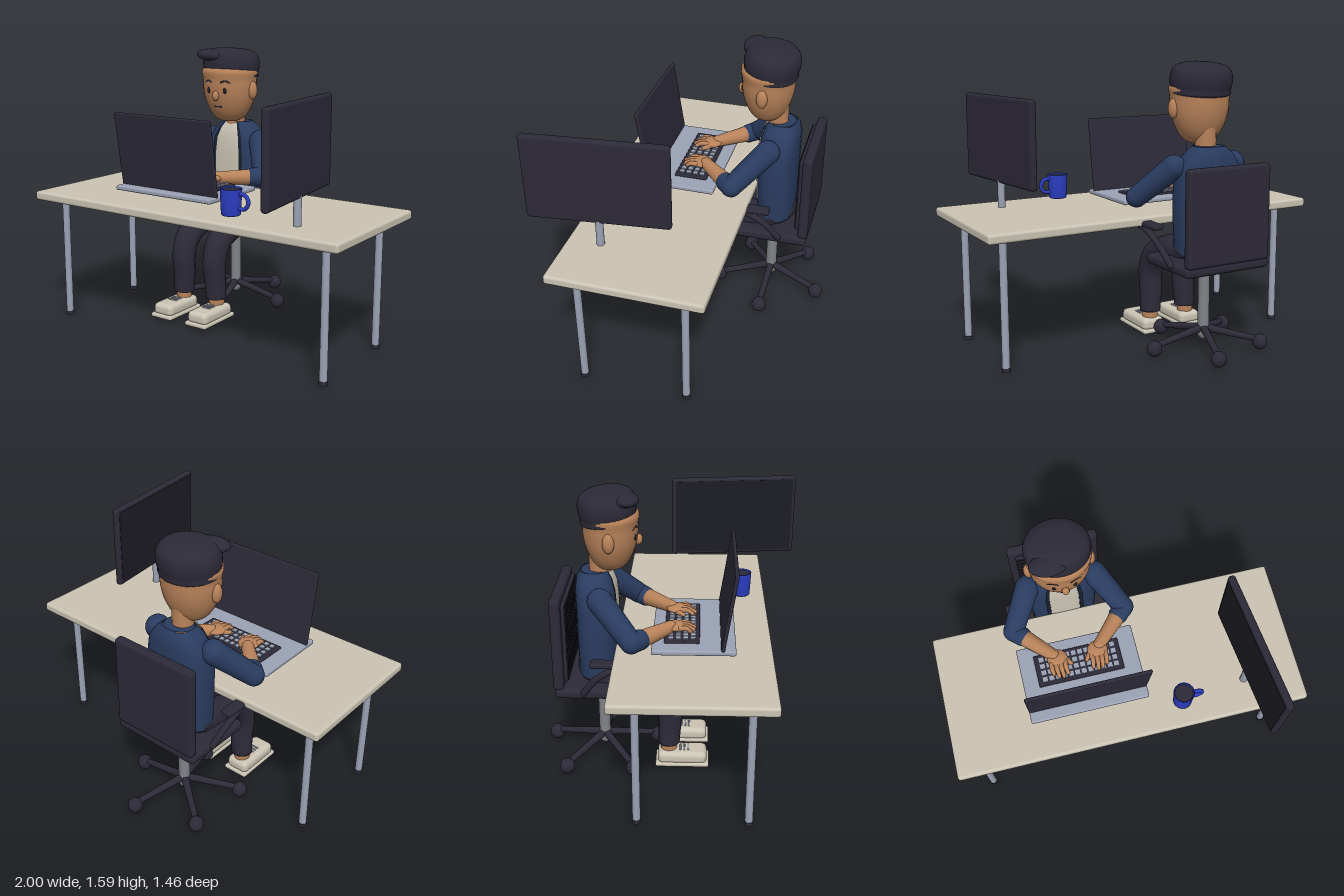
import * as THREE from 'three';
import { mergeGeometries } from 'three/addons/utils/BufferGeometryUtils.js';
import { RoundedBoxGeometry } from 'three/addons/geometries/RoundedBoxGeometry.js';

const mat = (name, color, side = THREE.FrontSide) => {
  const m = new THREE.MeshStandardMaterial({ color, side });
  m.name = name;
  return m;
};
const V = (x, y, z) => new THREE.Vector3(x, y, z);

export function createModel() {
  const M = {
    cream: mat('cream', 0xcbc4b4, THREE.DoubleSide), metal: mat('metal', 0x9ba2b5), steel: mat('steel', 0x808388),
    dark: mat('charcoal', 0x2d2a38), black: mat('screen black', 0x1c1c24), skin: mat('skin', 0xb9835a),
    jacket: mat('jacket blue', 0x2a3c60, THREE.DoubleSide), lapel: mat('lapel navy', 0x18202f, THREE.DoubleSide),
    blue: mat('mug blue', 0x2b3dc0, THREE.DoubleSide),
  };
  const root = new THREE.Group();
  const group = (name, x = 0, y = 0, z = 0) => {
    const g = new THREE.Group();
    g.name = name;
    g.position.set(x, y, z);
    root.add(g);
    return g;
  };
  const add = (parent, name, geo, m, x = 0, y = 0, z = 0) => {
    const mesh = new THREE.Mesh(geo, m);
    mesh.name = name;
    mesh.position.set(x, y, z);
    parent.add(mesh);
    return mesh;
  };
  const rbox = (w, h, d, r = 0.01) => new RoundedBoxGeometry(w, h, d, 3, r);
  const cyl = (r, h, r2 = r) => new THREE.CylinderGeometry(r, r2, h, 20);
  const ball = (rx, ry, rz) => new THREE.SphereGeometry(1, 24, 16).scale(rx, ry, rz);

  // tapered limb along a smooth path, with rounded ends
  const limb = (pts, radii, caps = true) => {
    const n = 8 * (pts.length - 1), sides = 16;
    const curve = new THREE.CatmullRomCurve3(pts);
    const geo = new THREE.TubeGeometry(curve, n, 1, sides, false);
    const p = geo.attributes.position, v = V(0, 0, 0);
    for (let i = 0; i <= n; i++) {
      const c = curve.getPointAt(i / n);
      const f = (i / n) * (radii.length - 1), k = Math.min(Math.floor(f), radii.length - 2);
      const r = THREE.MathUtils.lerp(radii[k], radii[k + 1], f - k);
      for (let j = 0; j <= sides; j++) {
        const q = i * (sides + 1) + j;
        v.fromBufferAttribute(p, q).sub(c).multiplyScalar(r).add(c);
        p.setXYZ(q, v.x, v.y, v.z);
      }
    }
    if (!caps) return geo;
    const end = (c, r) => ball(r, r, r).translate(c.x, c.y, c.z);
    return mergeGeometries([geo, end(pts[0], radii[0]), end(pts.at(-1), radii.at(-1))]);
  };

  // surface through rounded sections [y, halfWidth, halfDepth, zCentre]; angle 0 is the front
  const loft = (rings, a0, a1, grow = 0) => {
    const n = 32, pos = [], idx = [];
    const pw = (c) => Math.sign(c) * Math.abs(c) ** 0.75;
    rings.forEach(([y, w, d, zc], i) => {
      for (let j = 0; j <= n; j++) {
        const a = a0 + ((a1 - a0) * j) / n;
        pos.push((w + grow) * pw(Math.sin(a)), y, zc + (d + grow) * pw(Math.cos(a)));
        if (i && j) {
          const q = i * (n + 1) + j, b = q - n - 1;
          idx.push(b - 1, b, q - 1, b, q, q - 1);
        }
      }
    });
    const geo = new THREE.BufferGeometry();
    geo.setAttribute('position', new THREE.Float32BufferAttribute(pos, 3));
    geo.setIndex(idx);
    geo.computeVertexNormals();
    return geo;
  };
  const lathe = (pts) => new THREE.LatheGeometry(
    new THREE.SplineCurve(pts.map(([r, y]) => new THREE.Vector2(r, y))).getPoints(28), 36);

  // desk
  const desk = group('desk');
  add(desk, 'deskTop', rbox(2, 0.052, 0.835, 0.015), M.cream, 0, 0.742, 0.115);
  for (const x of [-0.875, 0.875]) for (const z of [-0.17, 0.41]) {
    add(desk, 'deskLeg', cyl(0.021, 0.7), M.metal, x, 0.368, z);
    add(desk, 'deskFoot', cyl(0.023, 0.022), M.dark, x, 0.011, z);
  }

  // monitor
  const monitor = group('monitor', 0.673, 0, 0.347);
  monitor.rotation.y = 0.115;
  add(monitor, 'monitorPanel', rbox(0.042, 0.488, 0.76, 0.018), M.dark, 0, 1.151, 0);
  add(monitor, 'monitorScreen', new THREE.BoxGeometry(0.004, 0.45, 0.72), M.black, -0.021, 1.151, 0);
  add(monitor, 'monitorStand', cyl(0.021, 0.2), M.metal, 0, 0.86, 0);

  // laptop
  const laptop = group('laptop', -0.208, 0, 0);
  add(laptop, 'laptopBase', rbox(0.67, 0.028, 0.44, 0.01), M.metal, 0, 0.811, 0.115);
  const lid = add(laptop, 'laptopLid', rbox(0.672, 0.43, 0.02, 0.009), M.dark, 0, 1.032, 0.297);
  lid.rotation.x = 0.15;
  add(laptop, 'keyboardPlate', rbox(0.487, 0.014, 0.187, 0.006), M.dark, -0.004, 0.829, 0.052);
  const keys = [];
  for (let i = 0; i < 12; i++) for (let j = 0; j < 4; j++)
    keys.push(new THREE.BoxGeometry(0.027, 0.008, 0.028).translate((i - 5.5) * 0.037 - 0.004, 0.838, 0.052 + (j - 1.5) * 0.039));
  add(laptop, 'keys', mergeGeometries(keys), M.metal);

  // mug
  const mug = group('mug', 0.303, 0.78, 0.39);
  const cup = [[0, 0], [0.046, 0], [0.052, 0.006], [0.058, 0.14], [0.051, 0.14], [0.049, 0.12]];
  add(mug, 'mugBody', new THREE.LatheGeometry(cup.map(([r, y]) => new THREE.Vector2(r, y)), 28), M.blue);
  add(mug, 'mugDrink', cyl(0.05, 0.006), M.dark, 0, 0.13, 0);
  add(mug, 'mugHandle', new THREE.TorusGeometry(0.04, 0.011, 10, 28), M.blue, 0.067, 0.077, 0);

  // office chair
  const chair = group('chair', -0.21, 0, 0);
  add(chair, 'chairSeat', rbox(0.535, 0.06, 0.42, 0.025), M.dark, 0, 0.517, -0.42);
  add(chair, 'chairBack', rbox(0.52, 0.525, 0.056, 0.02), M.dark, 0, 0.797, -0.608);
  add(chair, 'backPad', rbox(0.44, 0.455, 0.02, 0.008), M.dark, 0, 0.797, -0.57);
  const ribs = [];
  for (let i = -5; i <= 5; i++) {
    ribs.push(new THREE.BoxGeometry(0.43, 0.012, 0.008).translate(0, 0.797 + i * 0.041, -0.558));
    ribs.push(new THREE.BoxGeometry(0.012, 0.44, 0.008).translate(i * 0.041, 0.797, -0.558));
  }
  add(chair, 'backRibs', mergeGeometries(ribs), M.black);
  add(chair, 'chairColumn', cyl(0.032, 0.38), M.steel, 0, 0.3, -0.395);
  add(chair, 'chairHub', ball(0.035, 0.045, 0.035), M.steel, 0, 0.1, -0.395);
  for (let i = 0; i < 5; i++) {
    const a = ((1 + 72 * i) * Math.PI) / 180, x = 0.315 * Math.cos(a), z = 0.315 * Math.sin(a);
    add(chair, 'baseSpoke', limb([V(0, 0.125, -0.395), V(x, 0.065, z - 0.395)], [0.022, 0.016]), M.dark);
    add(chair, 'caster', ball(0.042, 0.044, 0.042), M.dark, x, 0.052, z - 0.395);
  }
  for (const s of [-1, 1]) {
    add(chair, 'armPad', rbox(0.065, 0.032, 0.23, 0.014), M.dark, s * 0.31, 0.73, -0.31);
    add(chair, 'armStrut', limb([V(s * 0.31, 0.71, -0.2), V(s * 0.31, 0.695, -0.3), V(s * 0.3, 0.64, -0.39),
      V(s * 0.265, 0.53, -0.47)], [0.017, 0.018, 0.018, 0.018]), M.dark);
  }

  // person: torso and clothes
  const person = group('person', -0.21, 0, 0);
  const body = [[0.57, 0.185, 0.105, -0.41], [0.75, 0.195, 0.11, -0.41], [0.95, 0.195, 0.11, -0.41],
    [1.05, 0.175, 0.108, -0.415], [1.11, 0.13, 0.095, -0.42], [1.145, 0.085, 0.072, -0.42]];
  add(person, 'jacket', loft(body, -Math.PI, Math.PI), M.jacket);
  const front = [[0.605, 0.187, 0.106, -0.41], ...body.slice(1)];
  add(person, 'shirt', loft(front, -0.32, 0.32, 0.005), M.cream);
  for (const s of [-1, 1]) add(person, 'lapel', loft(front, s * 0.38 - 0.06, s * 0.38 + 0.06, 0.008), M.lapel);
  add(person, 'shoulders', new THREE.CircleGeometry(0.09, 24).rotateX(-Math.PI / 2).scale(0.95, 1, 0.8), M.jacket, 0, 1.144, -0.42);
  add(person, 'hips', ball(0.19, 0.075, 0.12), M.dark, 0, 0.58, -0.41);
  add(person, 'neck', cyl(0.058, 0.14), M.skin, 0, 1.18, -0.39);

  // head and face
  const face = [[0, 1.147], [0.06, 1.157], [0.105, 1.19], [0.14, 1.25], [0.161, 1.32], [0.167, 1.4], [0.16, 1.47], [0, 1.51]];
  add(person, 'head', lathe(face).scale(1, 1, 0.88), M.skin, 0, 0, -0.328);
  const hair = [[0, 0.005], [0.155, 0], [0.17, 0.035], [0.175, 0.09], [0.157, 0.14], [0.1, 0.165], [0, 0.172]];
  const cap = add(person, 'hair', lathe(hair).scale(1, 1, 0.88), M.dark, 0, 1.415, -0.335);
  cap.rotation.x = -0.1;
  add(person, 'quiff', ball(0.1, 0.036, 0.065), M.dark, -0.065, 1.545, -0.235).rotation.z = -0.06;
  add(person, 'nose', ball(0.02, 0.03, 0.022), M.skin, 0, 1.312, -0.182);
  add(person, 'mouth', new THREE.BoxGeometry(0.05, 0.007, 0.008), M.lapel, 0, 1.247, -0.207);
  for (const s of [-1, 1]) {
    add(person, 'ear', ball(0.026, 0.053, 0.031), M.skin, s * 0.166, 1.342, -0.325);
    add(person, 'eye', ball(0.012, 0.018, 0.007), M.black, s * 0.056, 1.343, -0.194);
    const brow = limb([V(s * 0.035, 1.392, -0.187), V(s * 0.06, 1.401, -0.194), V(s * 0.086, 1.39, -0.205)], [0.005, 0.006, 0.004]);
    add(person, 'eyebrow', brow, M.dark);
  }

  for (const s of [-1, 1]) {
    // arms and hands
    add(person, 'upperSleeve', limb([V(s * 0.19, 1.035, -0.375), V(s * 0.32, 0.862, -0.205)], [0.068, 0.058]), M.jacket);
    add(person, 'lowerSleeve', limb([V(s * 0.32, 0.862, -0.205), V(s * 0.28, 0.86, -0.165)], [0.058, 0.055]), M.jacket);
    add(person, 'forearm', limb([V(s * 0.29, 0.86, -0.175), V(s * 0.13, 0.866, -0.01)], [0.05, 0.034]), M.skin);
    add(person, 'palm', ball(0.058, 0.022, 0.055), M.skin, s * 0.115, 0.866, 0.015);
    for (let i = 0; i < 4; i++) {
      const x = s * (0.155 - i * 0.026), reach = [0.095, 0.112, 0.118, 0.105][i];
      add(person, 'finger', limb([V(x, 0.867, 0.04), V(x, 0.868, 0.075), V(x - s * 0.004, 0.85, reach)], [0.014, 0.013, 0.011]), M.skin);
    }
    add(person, 'thumb', limb([V(s * 0.08, 0.862, 0.01), V(s * 0.045, 0.855, 0.055)], [0.016, 0.012]), M.skin);

    // legs and shoes
    const x = s * 0.113;
    add(person, 'trouserLeg', limb([V(x * 0.85, 0.565, -0.42), V(x, 0.555, -0.25), V(x, 0.488, -0.07),
      V(x, 0.38, -0.012), V(x, 0.25, -0.016), V(x * 1.06, 0.142, -0.02)], [0.085, 0.083, 0.078, 0.072, 0.066, 0.06], false), M.dark);
    add(person, 'trouserHem', cyl(0.06, 0.004), M.dark, x * 1.06, 0.142, -0.02);
    add(person, 'ankle', cyl(0.045, 0.08), M.skin, x * 1.08, 0.11, -0.02);
    const sx = s * 0.126;
    add(person, 'shoeUpper', rbox(0.138, 0.075, 0.275, 0.03), M.cream, sx, 0.067, 0.055);
    add(person, 'shoeSole', rbox(0.152, 0.026, 0.3, 0.012), M.cream, sx, 0.031, 0.055);
    for (let i = 0; i < 3; i++)
      add(person, 'shoelace', rbox(0.06, 0.01, 0.01, 0.004), M.metal, sx, 0.106, 0.045 + i * 0.022);
  }
  return root;
}
